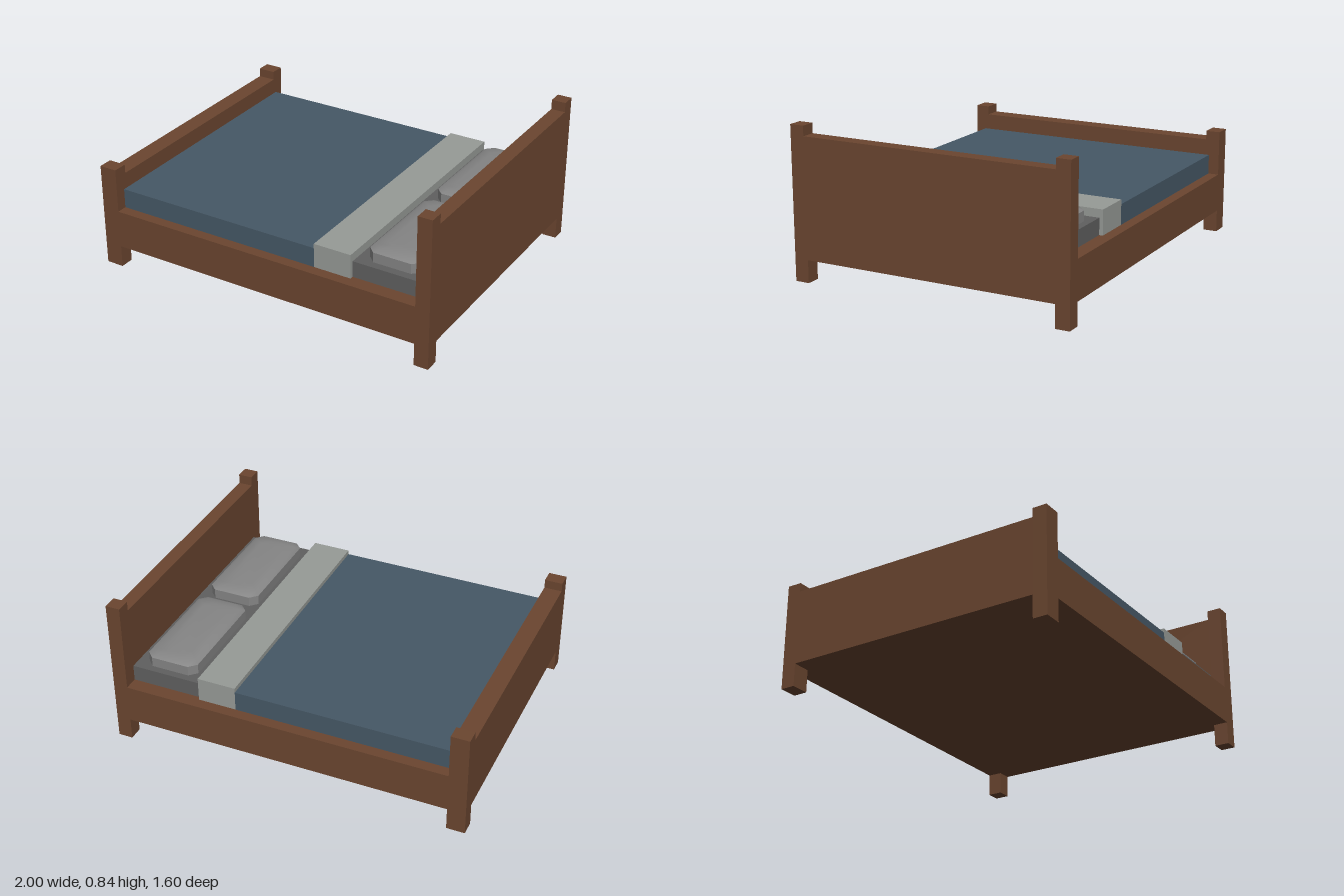
import * as THREE from 'three';
import { toCreasedNormals } from 'three/addons/utils/BufferGeometryUtils.js';

const mat = (color) => new THREE.MeshStandardMaterial({ color });

// Box given by its min/max extents
function box(name, material, [x0, x1], [y0, y1], [z0, z1]) {
  const m = new THREE.Mesh(new THREE.BoxGeometry(x1 - x0, y1 - y0, z1 - z0), material);
  m.position.set((x0 + x1) / 2, (y0 + y1) / 2, (z0 + z1) / 2);
  m.name = name;
  return m;
}

// Soft cushion lofted through eight-sided rings with cut corners
function pillowGeometry(halfX, halfZ, cut) {
  const rings = [[0, 0], [0.055, 0], [0.07, 0.025], [0.077, 0.07]]; // height, inset
  const pos = [], index = [];
  for (const [y, inset] of rings) {
    const a = halfX - inset, b = halfZ - inset, c = cut;
    for (const [x, z] of [[a, b - c], [a - c, b], [c - a, b], [-a, b - c],
      [-a, c - b], [c - a, -b], [a - c, -b], [a, c - b]]) pos.push(x, y, z);
  }
  for (let r = 0; r < rings.length - 1; r++) {
    for (let i = 0; i < 8; i++) {
      const a = r * 8 + i, b = r * 8 + (i + 1) % 8;
      index.push(a, a + 8, b, b, a + 8, b + 8);
    }
  }
  // Bottom and top caps
  const top = (rings.length - 1) * 8;
  for (let i = 1; i < 7; i++) {
    index.push(0, i, i + 1);
    index.push(top, top + i + 1, top + i);
  }
  const g = new THREE.BufferGeometry();
  g.setAttribute('position', new THREE.Float32BufferAttribute(pos, 3));
  g.setIndex(index);
  return toCreasedNormals(g, 0.65);
}

export function createModel() {
  const bed = new THREE.Group();
  bed.name = 'bed';
  const wood = mat(0x6b4630), blanket = mat(0x465866), fold = mat(0x979b97);
  const sheet = mat(0x606060), cushion = mat(0x858585);

  // Frame: head and foot panels set between taller corner posts
  for (const [end, x, postTop, panelTop] of [
    ['head', [0.92, 1], 0.84, 0.785],
    ['foot', [-1, -0.9], 0.59, 0.54],
  ]) {
    bed.add(box(end + 'Board', wood, x, [0.125, panelTop], [-0.72, 0.72]));
    bed.add(box(end + 'PostLeft', wood, x, [0, postTop], [0.72, 0.8]));
    bed.add(box(end + 'PostRight', wood, x, [0, postTop], [-0.8, -0.72]));
  }
  bed.add(box('bedBase', wood, [-0.9, 0.92], [0.125, 0.34], [-0.8, 0.8]));

  // Bedding
  bed.add(box('mattress', sheet, [-0.89, 0.92], [0.34, 0.43], [-0.72, 0.72]));
  bed.add(box('blanket', blanket, [-0.9, 0.305], [0.34, 0.45], [-0.74, 0.74]));
  bed.add(box('blanketFold', fold, [0.305, 0.52], [0.34, 0.475], [-0.74, 0.74]));

  // Pillows
  const geometry = pillowGeometry(0.147, 0.318, 0.04);
  for (const [name, z] of [['pillowFront', 0.357], ['pillowBack', -0.362]]) {
    const pillow = new THREE.Mesh(geometry, cushion);
    pillow.name = name;
    pillow.position.set(0.718, 0.43, z);
    bed.add(pillow);
  }
  return bed;
}
